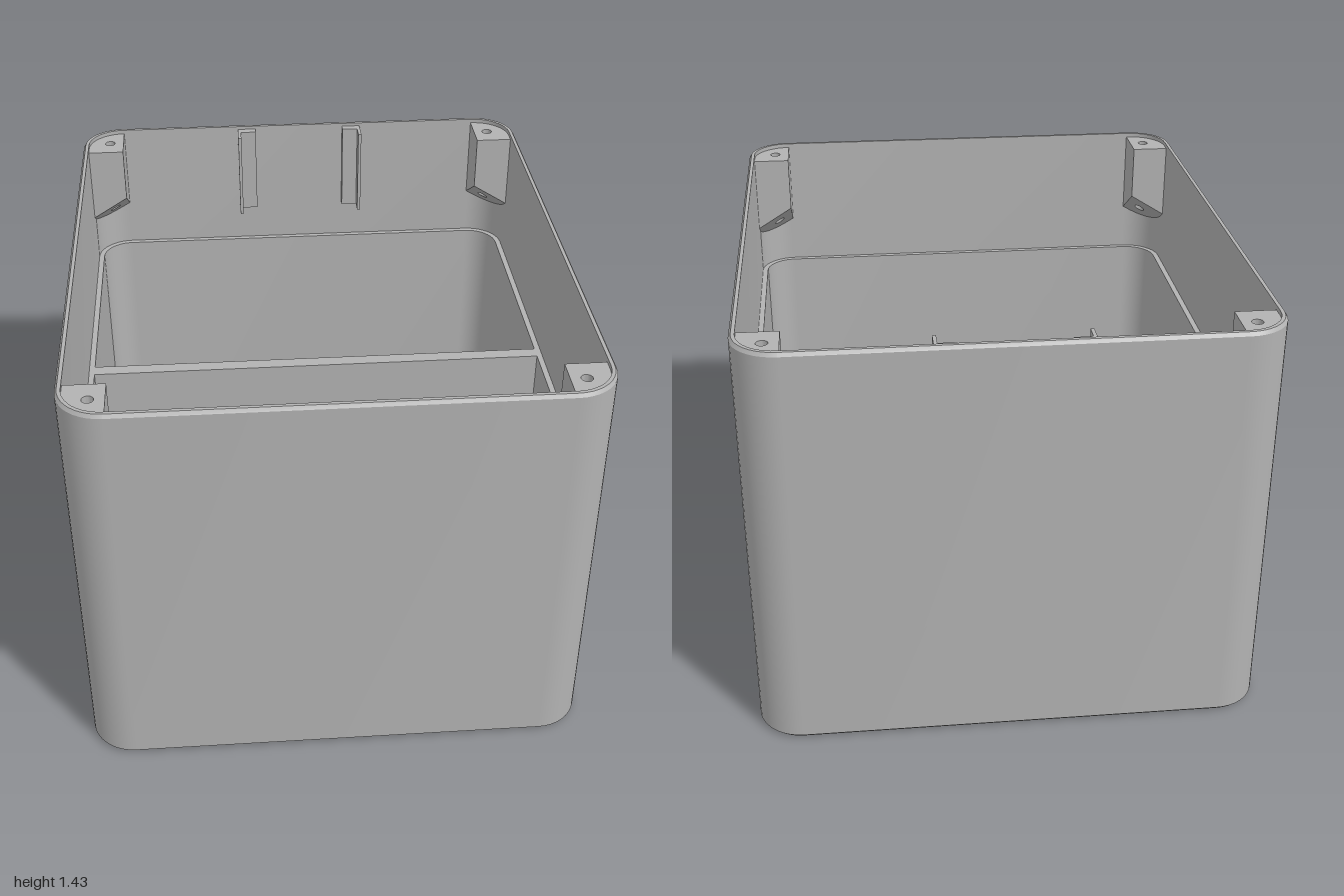
import * as THREE from 'three';
import { toCreasedNormals } from 'three/addons/utils/BufferGeometryUtils.js';

const HX = 0.853, HZ = 1, R = 0.15, H = 1.427;

// One rounded-rectangle ring, inset from the outer footprint
function ring(inset, y, n = 10) {
  const r = R - inset, pts = [];
  const corners = [[1, 1], [-1, 1], [-1, -1], [1, -1]];
  corners.forEach(([sx, sz], q) => {
    for (let i = 0; i <= n; i++) {
      const a = (q + i / n) * Math.PI / 2;
      pts.push([sx * (HX - R) + r * Math.cos(a), y, sz * (HZ - R) + r * Math.sin(a)]);
    }
  });
  return pts;
}

// Skin joining consecutive rings
function loft(profile) {
  const rings = profile.map(([d, y]) => ring(d, y));
  const n = rings[0].length, pos = [], idx = [];
  rings.forEach((r) => r.forEach((p) => pos.push(...p)));
  for (let i = 0; i < rings.length - 1; i++) {
    for (let j = 0; j < n; j++) {
      const k = (j + 1) % n;
      const a = i * n + j, b = i * n + k, c = a + n, d = b + n;
      idx.push(a, c, b, b, c, d);
    }
  }
  const g = new THREE.BufferGeometry();
  g.setAttribute('position', new THREE.Float32BufferAttribute(pos, 3));
  g.setIndex(idx);
  return toCreasedNormals(g, 0.5);
}

// Rectangle path with a radius for each corner: x0z0, x1z0, x1z1, x0z1
function rectPath(Type, x0, z0, x1, z1, [a, b, c, d]) {
  const p = new Type();
  p.moveTo(x0 + a, z0);
  p.lineTo(x1 - b, z0);
  if (b) p.absarc(x1 - b, z0 + b, b, -Math.PI / 2, 0);
  p.lineTo(x1, z1 - c);
  if (c) p.absarc(x1 - c, z1 - c, c, 0, Math.PI / 2);
  p.lineTo(x0 + d, z1);
  if (d) p.absarc(x0 + d, z1 - d, d, Math.PI / 2, Math.PI);
  p.lineTo(x0, z0 + a);
  if (a) p.absarc(x0 + a, z0 + a, a, Math.PI, Math.PI * 1.5);
  return p;
}

const circle = (x, z, r) => new THREE.Path().absarc(x, z, r, 0, Math.PI * 2);

// Plan shape extruded downwards from the given height
function slab(shape, top, depth) {
  const g = new THREE.ExtrudeGeometry(shape, { depth, bevelEnabled: false, curveSegments: 10 });
  return g.rotateX(Math.PI / 2).translate(0, top, 0);
}

// Corner screw post with a sloping underside
function postGeometry(sx, sz) {
  const s = new THREE.Shape();
  s.moveTo(sx * 0.7, sz * 0.81);
  s.lineTo(sx * 0.84, sz * 0.81);
  for (let i = 0; i <= 8; i++) {
    const a = i / 8 * Math.PI / 2;
    s.lineTo(sx * (0.705 + 0.13 * Math.cos(a)), sz * (0.852 + 0.13 * Math.sin(a)));
  }
  s.lineTo(sx * 0.7, sz * 0.982);
  s.holes.push(circle(sx * 0.752, sz * 0.892, 0.019));
  const g = slab(s, H - 0.015, 0.2), p = g.attributes.position;
  for (let i = 0; i < p.count; i++) {
    if (p.getY(i) < H - 0.1) {
      const u = Math.abs(p.getX(i)) - 0.7, v = Math.abs(p.getZ(i)) - 0.81;
      p.setY(i, p.getY(i) - 0.62 * (u + v));
    }
  }
  return toCreasedNormals(g, 0.5);
}

export function createModel() {
  const model = new THREE.Group();
  model.name = 'openCase';
  const grey = new THREE.MeshStandardMaterial({ color: 0xb2b2b2 });
  grey.name = 'grey';

  const add = (name, geometry) => {
    const m = new THREE.Mesh(geometry, grey);
    m.name = name;
    model.add(m);
    return m;
  };
  // Box given by its x, y and z ranges
  const box = (name, x0, x1, y0, y1, z0, z1) => add(name,
    new THREE.BoxGeometry(x1 - x0, y1 - y0, z1 - z0)
      .translate((x0 + x1) / 2, (y0 + y1) / 2, (z0 + z1) / 2));

  // Outer shell: chamfered edges, thin upper rim, ledge, thicker lower wall
  add('shell', loft([
    [0.012, 0], [0, 0.012], [0, H - 0.012], [0.008, H], [0.02, H],
    [0.02, 0.93], [0.04, 0.93], [0.04, 0.02],
  ]));

  // Floor with two large openings and two cable holes
  const e = 0.012, r = R - e;
  const floor = rectPath(THREE.Shape, -HX + e, -HZ + e, HX - e, HZ - e, [r, r, r, r]);
  floor.holes.push(
    rectPath(THREE.Path, -0.705, -0.92, 0.7, -0.02, [0, 0.08, 0.08, 0]),
    rectPath(THREE.Path, -0.7, 0.06, 0.7, 0.905, [0.08, 0.08, 0.08, 0.08]),
    circle(-0.783, -0.47, 0.027), circle(-0.783, -0.395, 0.027),
  );
  add('floor', slab(floor, 0.035, 0.035));

  // Wall between the two compartments
  box('divider', -0.82, 0.82, 0.03, 0.93, -0.02, 0.03);

  // Screw posts
  for (const sx of [-1, 1]) for (const sz of [-1, 1]) add('cornerPost', postGeometry(sx, sz));

  // Upright guide rails on the back wall
  for (const s of [-1, 1]) {
    const lo = Math.min(s * 0.175, s * 0.245), hi = Math.max(s * 0.175, s * 0.245);
    box('guideRail', lo, hi, 1.08, H - 0.012, -0.985, -0.95);
    box('guideFin', s * 0.24 - 0.006, s * 0.24 + 0.006, 1.08, H - 0.012, -0.96, -0.895);
  }

  // Cable channel beside the back opening
  box('channelWall', -0.717, -0.705, 0.03, 0.2, -0.92, -0.02);
  for (const z of [-0.52, -0.36]) box('cableGuide', -0.816, -0.758, 0.03, 0.28, z, z + 0.018);

  // Side bracket in the back compartment
  box('sideStrip', 0.715, 0.816, 0.03, 0.06, -0.8, -0.02);
  box('sideBracket', 0.682, 0.816, 0.06, 0.1, -0.6, -0.235);

  // Pads on the back of the divider
  for (const x of [-0.77, -0.487]) {
    box('dividerPad', x - 0.042, x + 0.042, 0.36, 0.46, -0.03, -0.018);
  }

  // Clips on the front of the divider
  for (const x of [-0.23, 0.095]) box('dividerClip', x - 0.055, x + 0.055, 0.1, 0.16, 0.028, 0.068);
  for (const x of [0.38, 0.505]) box('socketSide', x - 0.026, x + 0.026, 0.04, 0.13, 0.028, 0.068);
  box('socketBack', 0.4, 0.485, 0.04, 0.13, 0.028, 0.045);

  // Retaining clips and strips round the front opening
  for (const s of [-1, 1]) {
    box('frontClip', s * 0.245 - 0.075, s * 0.245 + 0.075, 0.1, 0.16, 0.9, 0.965);
    box('edgeStrip', s * 0.705 - 0.024, s * 0.705 + 0.024, 0.033, 0.06, 0.12, 0.615);
  }
  // Small spacer by the back wall
  box('backSpacer', -0.66, -0.58, 0.033, 0.07, -0.965, -0.94);

  return model;
}
